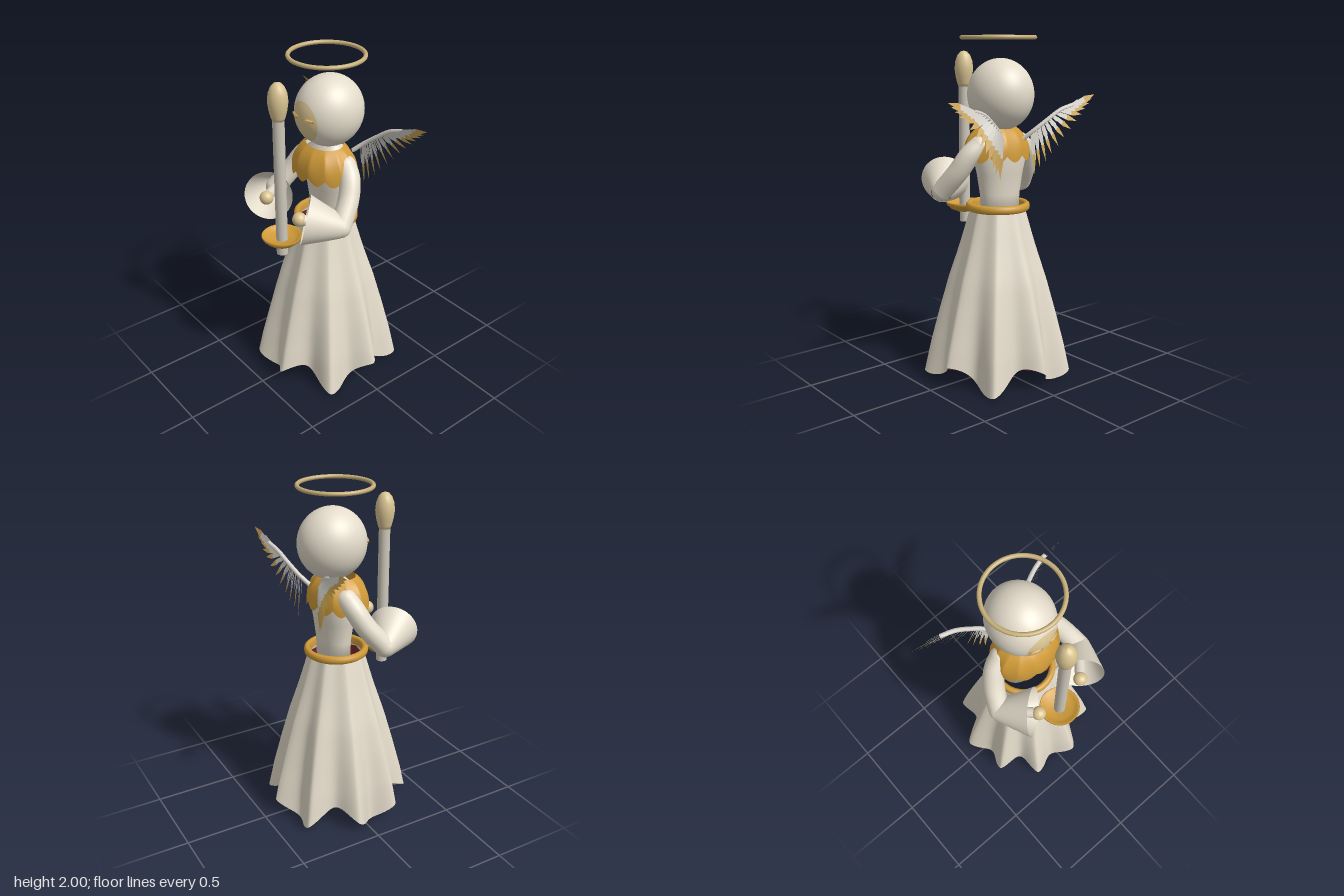
import * as THREE from 'three';

const material = (name, color, side = THREE.FrontSide) => {
  const m = new THREE.MeshStandardMaterial({ color, side });
  m.name = name;
  return m;
};
const V = (x, y, z) => new THREE.Vector3(x, y, z);
const mix = THREE.MathUtils.lerp;

// Wraps a grid around the y axis: shape(angle, v) returns a point, v runs bottom to top
function wrap(shape, nu, nv) {
  const g = new THREE.PlaneGeometry(1, 1, nu, nv);
  const p = g.attributes.position, uv = g.attributes.uv;
  for (let i = 0; i < p.count; i++) {
    p.setXYZ(i, ...shape((uv.getX(i) - 0.5) * Math.PI * 2, uv.getY(i)).toArray());
  }
  g.computeVertexNormals();
  return g;
}

const lathe = (pts, seg = 32) =>
  new THREE.LatheGeometry(pts.map(([r, y]) => new THREE.Vector2(r, y)), seg);

export function createModel() {
  const root = new THREE.Group();
  root.name = 'candleAngel';
  const cream = material('cream', 0xe4dccb, THREE.DoubleSide);
  const gold = material('gold', 0xcf9a38, THREE.DoubleSide);
  const tan = material('tan', 0xdac492);
  const halo = material('paleGold', 0xc6ae78);
  const wax = material('wax', 0xcec8ba);
  const red = material('darkRed', 0x7d2c2f, THREE.DoubleSide);
  const white = material('featherWhite', 0xd4d0c8, THREE.DoubleSide);
  const tipGold = material('featherGold', 0xcaa455, THREE.DoubleSide);

  const add = (name, geo, mat, pos = [0, 0, 0], parent = root) => {
    const m = new THREE.Mesh(geo, mat);
    m.name = name;
    m.position.set(...pos);
    parent.add(m);
    return m;
  };

  // Skirt: nine uneven pointed folds (angles from the back) and a hem with five waves
  const radii = [0.393, 0.363, 0.322, 0.275, 0.215, 0.16];
  const tips = [0, 42, 84, 125, 168, 208, 242, 281, 322, 360];
  const skirtPoint = (a, y, inset) => {
    const t = THREE.MathUtils.clamp(y / 0.2, 0, 4.999), i = Math.floor(t);
    const deg = THREE.MathUtils.clamp(180 - THREE.MathUtils.radToDeg(a), 0, 359.999);
    const k = tips.findIndex((tip) => tip > deg);
    const phase = (deg - tips[k - 1]) / (tips[k] - tips[k - 1]);
    const fold = 1 - 2 * Math.sin(phase * Math.PI) ** 1.4;
    const r = mix(radii[i], radii[i + 1], t - i) + (0.006 + 0.048 * (1 - y) ** 1.6) * fold - inset;
    return V(r * Math.sin(a), y, r * Math.cos(a));
  };
  add('skirt', wrap((a, v) => {
    const hem = 0.064 + 0.064 * Math.cos(5 * (Math.PI - a - 0.19));
    return skirtPoint(a, mix(hem, 1, v), 0);
  }, 216, 20), cream);
  add('skirtLining', wrap((a, v) => skirtPoint(a, mix(0.12, 0.99, v), 0.01), 216, 15), red);

  // Belt
  add('belt', lathe([[0.152, 1], [0.176, 1], [0.186, 1.008], [0.188, 1.022], [0.186, 1.037],
    [0.176, 1.046], [0.162, 1.046], [0.152, 1.036], [0.152, 1]], 48), gold);

  // Torso
  const torso = add('torso', lathe([[0, 0.97], [0.125, 0.97], [0.13, 1.1], [0.15, 1.22],
    [0.178, 1.34], [0.16, 1.42], [0.09, 1.47], [0.07, 1.52]]), cream, [0, 0, -0.018]);
  torso.scale.z = 0.7;

  // Scalloped collar
  add('collar', wrap((a, v) => {
    const hem = 1.33 - 0.036 * Math.abs(Math.cos(6 * a));
    const r = Math.sqrt(1 - 0.68 * v ** 2.2);
    return V(0.213 * r * Math.sin(a), mix(hem, 1.482, v), 0.167 * r * Math.cos(a) + 0.01);
  }, 144, 12), gold);

  // Head, face and closed eyes
  const head = new THREE.Group();
  head.name = 'head';
  head.position.set(0, 1.67, -0.025);
  root.add(head);
  add('skull', new THREE.SphereGeometry(0.2, 40, 28), cream, [0, 0, 0], head)
    .scale.set(0.93, 1.02, 1);
  const face = add('face', new THREE.SphereGeometry(0.2025, 32, 10, 0, Math.PI * 2, 0, 0.6),
    tan, [0, 0, 0], head);
  face.geometry.rotateX(Math.PI / 2 + 0.13);
  face.scale.set(0.9, 1.02, 1.002);
  for (const s of [-1, 1]) {
    const eye = new THREE.Group();
    eye.name = s > 0 ? 'leftEye' : 'rightEye';
    eye.position.set(s * 0.058, 0.003, 0.191);
    eye.rotation.y = s * 0.32;
    head.add(eye);
    add('eyeRim', new THREE.TorusGeometry(0.033, 0.005, 8, 28), gold, [0, 0, 0], eye)
      .scale.set(1, 0.34, 1);
    add('eyelid', new THREE.SphereGeometry(0.033, 18, 10), tan, [0, 0, 0], eye)
      .scale.set(1, 0.3, 0.25);
  }

  // Halo
  const ring = add('halo', new THREE.TorusGeometry(0.207, 0.012, 12, 56), halo, [0, 1.988, -0.005]);
  ring.rotation.x = Math.PI / 2;

  // Candle, flame and drip dish
  const cz = 0.32;
  add('candle', new THREE.CylinderGeometry(0.033, 0.033, 0.845, 24), wax, [0, 1.2975, cz]);
  add('flame', lathe([[0, 1.7], [0.034, 1.702], [0.04, 1.72], [0.05, 1.76], [0.056, 1.805],
    [0.052, 1.85], [0.038, 1.887], [0.02, 1.906], [0, 1.912]], 24), tan, [0, 0, cz]);
  add('dripDish', lathe([[0, 0.942], [0.055, 0.942], [0.085, 0.955], [0.112, 0.98],
    [0.117, 0.994], [0.112, 1], [0.1, 0.99], [0.07, 0.972], [0, 0.965]]), gold, [0, 0, cz]);

  const UP = V(0, 1, 0);
  for (const s of [-1, 1]) {
    // Arm with bell sleeve and hand
    const arm = new THREE.Group();
    arm.name = s > 0 ? 'leftArm' : 'rightArm';
    root.add(arm);
    const elbow = V(s * 0.302, 1.12, 0.14), cuff = V(s * 0.175, 1.16, 0.282);
    const dir = cuff.clone().sub(elbow), len = dir.length();
    dir.normalize();
    const path = new THREE.CatmullRomCurve3([V(s * 0.15, 1.385, -0.02),
      V(s * 0.21, 1.33, 0), V(s * 0.255, 1.24, 0.045), elbow]);
    add('upperArm', new THREE.TubeGeometry(path, 20, 0.06, 18), cream, [0, 0, 0], arm);
    for (const p of [path.points[0], elbow]) {
      add('armJoint', new THREE.SphereGeometry(0.06, 18, 14), cream, p.toArray(), arm);
    }
    const sleeve = add('sleeve', lathe([[0.06, -0.015], [0.086, len * 0.25], [0.112, len * 0.6],
      [0.142, len]], 36), cream, elbow.toArray(), arm);
    sleeve.quaternion.setFromUnitVectors(UP, dir);
    const hand = V(s * 0.155, 1.165, 0.31);
    add('hand', new THREE.SphereGeometry(0.04, 20, 14), tan, hand.toArray(), arm);
    add('wrist', new THREE.TubeGeometry(new THREE.LineCurve3(elbow, hand), 2, 0.03, 14),
      cream, [0, 0, 0], arm);

    // Wing: a curved bone with fanned, gold-tipped feathers
    const wing = new THREE.Group();
    wing.name = s > 0 ? 'leftWing' : 'rightWing';
    root.add(wing);
    const bone = new THREE.CatmullRomCurve3([V(s * 0.08, 1.42, -0.13), V(s * 0.13, 1.47, -0.17),
      V(s * 0.2, 1.525, -0.2), V(s * 0.28, 1.58, -0.225), V(s * 0.36, 1.605, -0.24)]);
    add('wingBone', new THREE.TubeGeometry(bone, 16, 0.013, 10), white, [0, 0, 0], wing);
    const ends = new THREE.CatmullRomCurve3([V(s * 0.13, 1.21, -0.175), V(s * 0.21, 1.3, -0.2),
      V(s * 0.3, 1.41, -0.23), V(s * 0.4, 1.52, -0.245), V(s * 0.48, 1.6, -0.245),
      V(s * 0.535, 1.66, -0.243)]);
    // Flat pointed feather, rolled a little about its quill
    const feather = (base, tip, w, goldFrom, lift) => {
      const y = tip.clone().sub(base), L = y.length();
      y.normalize();
      const x = y.clone().cross(V(0, 0, 1)).normalize().applyAxisAngle(y, s * 0.35);
      const basis = new THREE.Matrix4().makeBasis(x, y, x.clone().cross(y));
      const half = (t) => w * (t < 0.6 ? 0.55 + 0.75 * t : 2.5 * (1 - t));
      const blade = (name, t0, t1, mat) => {
        const ts = [t0, ...[0.6].filter((t) => t > t0 && t < t1), t1];
        const pts = ts.map((t) => new THREE.Vector2(half(t), t * L));
        pts.push(...[...ts].reverse().map((t) => new THREE.Vector2(-half(t), t * L)));
        const m = add(name, new THREE.ShapeGeometry(new THREE.Shape(pts)), mat,
          [base.x, base.y, base.z + lift], wing);
        m.quaternion.setFromRotationMatrix(basis);
      };
      blade('feather', 0, goldFrom, white);
      if (goldFrom < 0.99) blade('featherTip', goldFrom, 0.999, tipGold);
    };
    const count = 13;
    for (let i = 0; i < count; i++) {
      const t = i / (count - 1);
      const base = bone.getPoint(0.2 + 0.8 * t), tip = ends.getPoint(t);
      feather(base, tip, 0.018, 0.52, -0.004 + 0.003 * (i % 2));
      const short = base.clone().lerp(tip, 0.5);
      for (const lift of [-0.012, 0.008]) feather(base, short, 0.013, 0.99, lift);
    }
  }
  return root;
}
